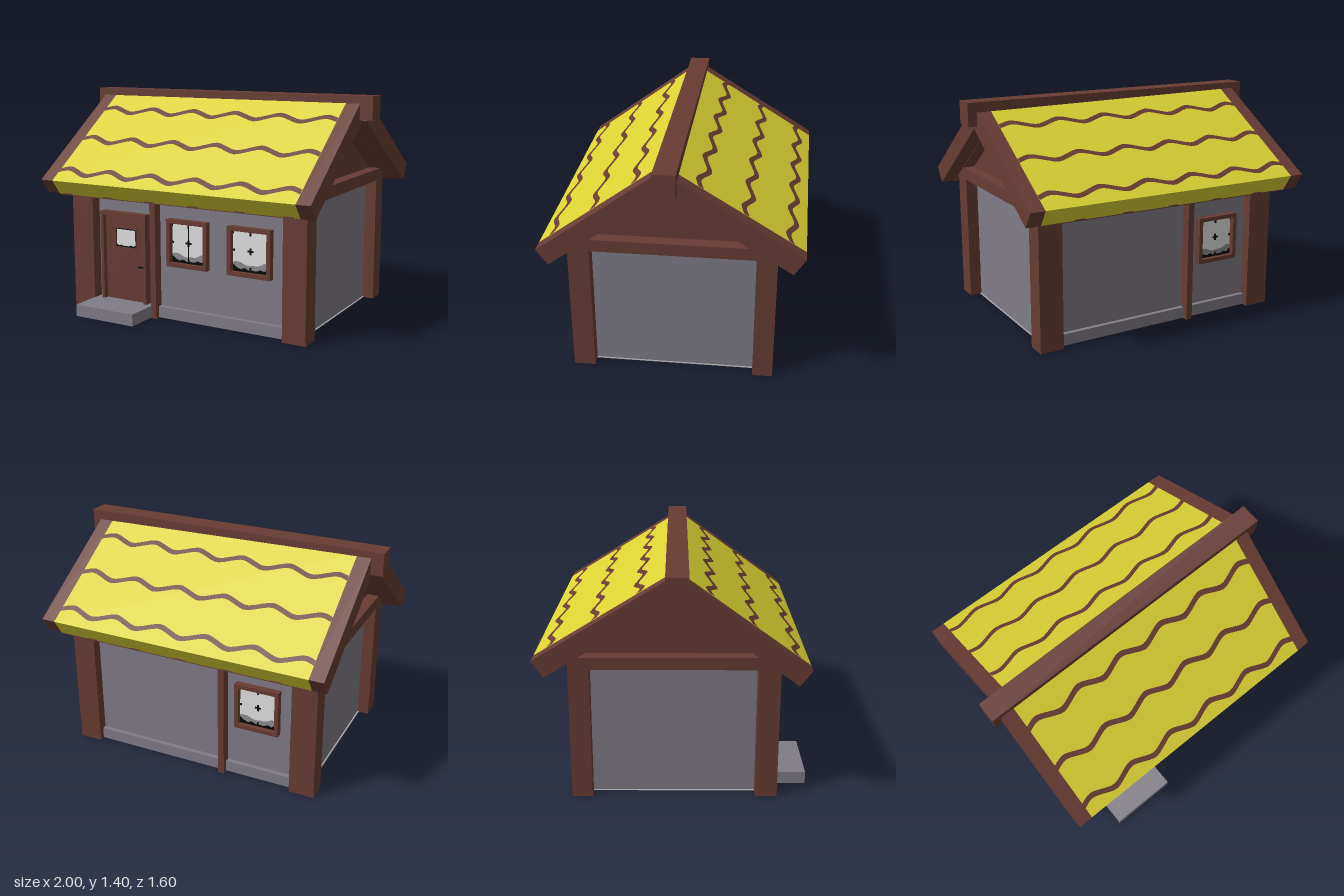
import * as THREE from 'three';

const mat = (name, color, side = THREE.FrontSide) => {
  const m = new THREE.MeshStandardMaterial({ color, side });
  m.name = name;
  return m;
};

export function createModel() {
  const wood = mat('brown wood', 0x683c34);
  const plaster = mat('grey plaster', 0x807c87);
  const thatch = mat('yellow roof', 0xdbd233);
  const pane = mat('pale glass', 0xe2e2e2, THREE.DoubleSide);
  const hills = mat('grey reflection', 0x8e8c90, THREE.DoubleSide);
  const black = mat('black trim', 0x050505, THREE.DoubleSide);
  const base = mat('floor grey', 0xa6a6a6);

  const model = new THREE.Group();
  model.name = 'cottage';

  const add = (name, geo, material, parent = model) => {
    const m = new THREE.Mesh(geo, material);
    m.name = name;
    parent.add(m);
    return m;
  };
  // Box given by its extents on each axis
  const box = (name, material, [x0, x1], [y0, y1], [z0, z1], parent = model) => {
    const m = add(name, new THREE.BoxGeometry(x1 - x0, y1 - y0, z1 - z0), material, parent);
    m.position.set((x0 + x1) / 2, (y0 + y1) / 2, (z0 + z1) / 2);
    return m;
  };
  // Prism along x from a (z, y) profile
  const prism = (profile, x0, x1) => {
    const shape = new THREE.Shape(profile.map(p => new THREE.Vector2(...p)));
    const g = new THREE.ExtrudeGeometry(shape, { depth: x1 - x0, bevelEnabled: false });
    return g.rotateY(-Math.PI / 2).translate(x1, 0, 0);
  };
  // Slight skew of the rear roof
  const skew = (g, k) => {
    const p = g.attributes.position;
    for (let i = 0; i < p.count; i++) p.setZ(i, p.getZ(i) + k * (p.getX(i) - 0.95));
    g.computeVertexNormals();
    return g;
  };

  // Walls, floor and gable
  box('walls', plaster, [-0.755, 0.755], [0.004, 0.88], [-0.55, 0.54]);
  box('floor', base, [-0.765, 0.765], [0.002, 0.005], [-0.555, 0.545]);
  add('gable', prism([[0.56, 0.87], [0.03, 1.265], [-0.59, 0.87]], -0.755, 0.755), wood);

  // Corner posts and tie beams
  for (const [x0, x1] of [[-0.83, -0.67], [0.68, 0.83]]) {
    box('cornerPost', wood, [x0, x1], [0, 0.85], [0.48, 0.61]);
    box('cornerPost', wood, [x0, x1], [0, 0.88], [-0.612, -0.49]);
    box('tieBeam', wood, [x0, x1], [0.81, 0.885], [-0.612, 0.61]);
  }
  // Wall plates, middle posts and plinths on the long walls
  for (const { s, wall, post, x } of [
    { s: 1, wall: 0.54, post: 0.6, x: -0.22 },
    { s: -1, wall: 0.55, post: 0.612, x: -0.212 },
  ]) {
    const out = d => (s > 0 ? [0.48, d] : [-d, -0.48]);
    box('wallPlate', wood, [-0.7, 0.7], [0.81, 0.88], out(wall + 0.03));
    box('middlePost', wood, [x - 0.02, x + 0.02], [0, 0.85], out(post));
    box('plinth', plaster, [-0.7, 0.7], [0.003, 0.075], out(wall + 0.028));
  }

  // Roof slopes with rake boards, soffits and zigzag courses
  const slopes = [
    { name: 'frontRoof', k: 0, xs: [-0.95, -0.86, 0.83, 0.92],
      profile: [[0.77, 0.852], [0.05, 1.376], [0.03, 1.25], [0.70, 0.76]],
      rows: [0.21, 0.452, 0.698], peak: -0.17 },
    { name: 'backRoof', k: 0.0187, xs: [-0.925, -0.835, 0.855, 0.945],
      profile: [[-0.765, 0.90], [0, 1.37], [0.03, 1.25], [-0.70, 0.80]],
      rows: [-0.17, -0.425, -0.68], peak: 0 },
  ];
  for (const { name, k, xs, profile, rows, peak } of slopes) {
    const [eave, ridge, inner, under] = profile;
    const slope = (ridge[1] - eave[1]) / (ridge[0] - eave[0]);
    add(name, skew(prism(profile, xs[1], xs[2]), k), thatch);
    add(name + 'RakeBoard', skew(prism(profile, xs[0], xs[1]), k), wood);
    add(name + 'RakeBoard', skew(prism(profile, xs[2], xs[3]), k), wood);
    const lower = ([z, y]) => [z, y - 0.005];
    add(name + 'Soffit', skew(prism([inner, under, lower(under), lower(inner)], xs[1], xs[2]), k), wood);

    // Softened zigzag
    const wave = x => {
      const c = Math.cos((x - peak) * 2 * Math.PI / 0.31);
      return -0.025 * Math.asin(0.9 * c) / Math.asin(1) - 0.004 * c;
    };
    for (const row of rows) {
      const g = new THREE.PlaneGeometry(xs[2] - xs[1], 0.03, 66, 1).rotateX(-Math.PI / 2);
      g.translate((xs[1] + xs[2]) / 2, 0, 0);
      const p = g.attributes.position;
      for (let i = 0; i < p.count; i++) {
        const z = row + p.getZ(i) + wave(p.getX(i));
        p.setZ(i, z);
        p.setY(i, eave[1] + slope * (z - eave[0]) + 0.003);
      }
      add(name + 'Course', skew(g, k), wood);
    }
    // Crests of the next course along the lower eave edge
    for (let n = -2; n <= 3; n++) {
      const x = peak + n * 0.31;
      if (x > 0.8) continue;
      const z = under[0] + k * (x - 0.95);
      box(name + 'EaveMark', wood, [x - 0.032, x + 0.032],
        [under[1], under[1] + 0.008], [z - 0.008, z + 0.008]);
    }
  }
  box('ridgeBeam', wood, [-1, 1], [1.257, 1.4], [-0.05, 0.08]);

  // Rectangular frame with an opening, extruded forward
  const frame = (w, h, t, d) => {
    const rect = (C, a, b) => new C([[-a, -b], [a, -b], [a, b], [-a, b]]
      .map(p => new THREE.Vector2(...p)));
    const s = rect(THREE.Shape, w / 2, h / 2);
    s.holes.push(rect(THREE.Path, w / 2 - t, h / 2 - t));
    return new THREE.ExtrudeGeometry(s, { depth: d, bevelEnabled: false });
  };
  // Flat silhouette from a base line up to a list of heights
  const skyline = (w, y0, heights) => {
    const s = new THREE.Shape();
    s.moveTo(w / 2, y0);
    s.lineTo(-w / 2, y0);
    heights.forEach((h, i) => s.lineTo(-w / 2 + w * i / (heights.length - 1), y0 + h));
    return new THREE.ShapeGeometry(s);
  };

  // Windows
  const addWindow = (x, z, turn, bar) => {
    const g = new THREE.Group();
    g.name = 'window';
    g.position.set(x, 0.496, z);
    g.rotation.y = turn;
    model.add(g);
    add('windowFrame', frame(0.287, 0.298, 0.025, 0.042), wood, g);
    box('glass', pane, [-0.12, 0.12], [-0.125, 0.125], [0.002, 0.008], g);
    add('reflection', skyline(0.236, -0.124,
      [0.055, 0.06, 0.056, 0.044, 0.038, 0.044, 0.042, 0.05, 0.066, 0.058]), hills, g).position.z = 0.01;
    add('lowerTrim', skyline(0.236, -0.124,
      [0.045, 0.024, 0.014, 0.024, 0.012, 0.014, 0.012, 0.024, 0.016, 0.04]), black, g).position.z = 0.012;
    const mark = (cx, cy, w, h) => box('glazingMark', black,
      [cx - w / 2, cx + w / 2], [cy - h / 2, cy + h / 2], [0.009, 0.013], g);
    mark(0, 0.003, 0.04, 0.01);
    mark(0, 0.003, 0.012, 0.04);
    if (bar) mark(0, 0, 0.006, 0.245);
    for (const s of [-1, 1]) {
      mark(0, s * 0.108, 0.01, 0.026);
      mark(s * 0.112, 0.003, 0.012, 0.012);
      mark(s * 0.116, 0.113, 0.008, 0.02);
    }
  };
  addWindow(0.0125, 0.54, 0, true);
  addWindow(0.4425, 0.54, 0, false);
  addWindow(-0.437, -0.55, Math.PI, false);

  // Door with frame, small window and handle
  box('doorLeaf', wood, [-0.605, -0.3], [0.077, 0.63], [0.52, 0.56]);
  for (const [a, b] of [[-0.627, -0.605], [-0.303, -0.281]])
    box('doorJamb', wood, [a, b], [0.075, 0.652], [0.52, 0.59]);
  box('doorLintel', wood, [-0.627, -0.281], [0.627, 0.652], [0.52, 0.59]);
  const light = add('doorWindowFrame', frame(0.165, 0.135, 0.008, 0.006), wood);
  light.position.set(-0.4475, 0.487, 0.56);
  box('doorGlass', pane, [-0.522, -0.373], [0.432, 0.545], [0.56, 0.562]);
  box('doorGlassTrim', black, [-0.525, -0.37], [0.54, 0.547], [0.56, 0.564]);
  for (const x of [-0.522, -0.373])
    box('doorGlassTrim', black, [x - 0.003, x + 0.003], [0.44, 0.545], [0.56, 0.564]);
  add('doorGlassLowerTrim', skyline(0.149, 0.427,
    [0.018, 0.008, 0.012, 0.006, 0.008, 0.006, 0.014, 0.008, 0.018]), black)
    .position.set(-0.4475, 0, 0.565);
  box('doorHandle', black, [-0.355, -0.312], [0.302, 0.31], [0.56, 0.567]);
  box('doorHandle', black, [-0.32, -0.308], [0.292, 0.308], [0.56, 0.566]);

  // Doorstep
  box('doorstep', plaster, [-0.672, -0.24], [0.002, 0.077], [0.5, 0.8]);

  return model;
}
